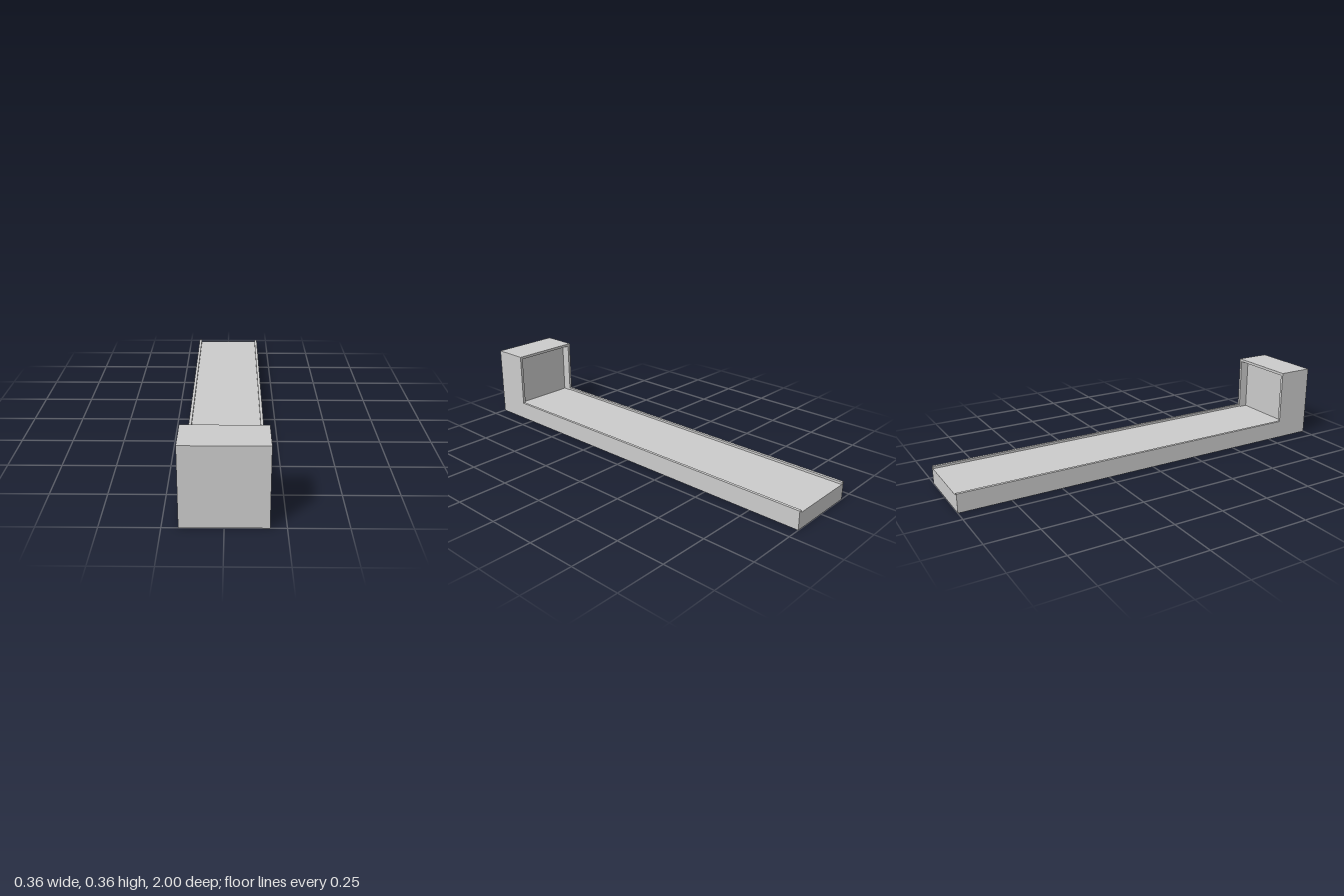
import * as THREE from 'three';

const W = 0.364, H = 0.364;      // overall width and height
const WALL = 0.014;              // rim thickness
const HEAD_Z = 0.818;            // rear plane of the upright head
const RECESS_Z = 0.865;          // bottom of the head recess
const RIM_Y = 0.091, FLOOR_Y = 0.08, SILL_Y = 0.077;

export function createModel() {
  const group = new THREE.Group();
  const material = new THREE.MeshStandardMaterial({ color: 0xcccccc, flatShading: true });
  const inner = W - 2 * WALL;

  const add = (name, geometry) => {
    const mesh = new THREE.Mesh(geometry, material);
    mesh.name = name;
    group.add(mesh);
    return mesh;
  };
  // box spanning y0..y1 and z0..z1 between the side walls
  const slab = (name, y0, y1, z0, z1) => {
    const mesh = add(name, new THREE.BoxGeometry(inner, y1 - y0, z1 - z0));
    mesh.position.set(0, (y0 + y1) / 2, (z0 + z1) / 2);
  };

  // L-shaped side walls: low rim along the tray, tall cheek at the head
  const profile = new THREE.Shape([
    [-1, 0], [1, 0], [1, H], [HEAD_Z, H], [HEAD_Z, RIM_Y], [-1, RIM_Y],
  ].map(([z, y]) => new THREE.Vector2(-z, y)).reverse());
  for (const [name, x] of [['leftSideWall', W / 2 - WALL], ['rightSideWall', -W / 2]]) {
    const wall = add(name, new THREE.ExtrudeGeometry(profile, { depth: WALL, bevelEnabled: false }));
    wall.rotation.y = Math.PI / 2;
    wall.position.x = x;
  }

  // long tray floor, open at the back end
  slab('trayFloor', 0, FLOOR_Y, -1, HEAD_Z);
  // head: sill, solid front and roof leave a shallow recess facing the tray
  slab('headSill', 0, SILL_Y, HEAD_Z, RECESS_Z);
  slab('headFront', 0, H, RECESS_Z, 1);
  slab('headRoof', H - WALL, H, HEAD_Z, RECESS_Z);

  return group;
}
